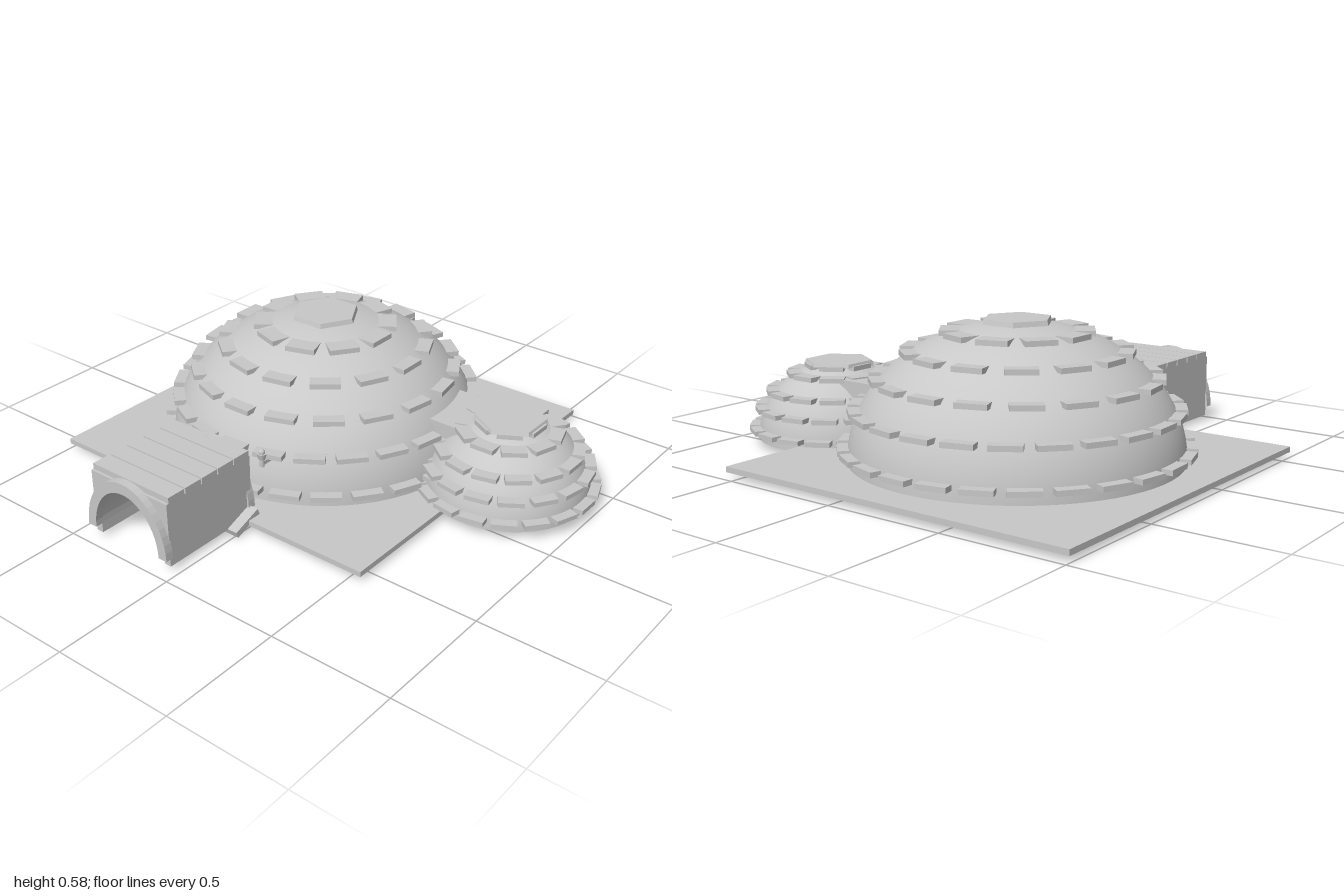
import * as THREE from 'three';

const stone = new THREE.MeshStandardMaterial({ color: 0xc8c8c8 });
stone.name = 'pale grey';

function add(parent, name, geometry, x = 0, y = 0, z = 0) {
  const mesh = new THREE.Mesh(geometry, stone);
  mesh.name = name;
  mesh.position.set(x, y, z);
  parent.add(mesh);
  return mesh;
}

// Half-ellipsoid shell closed underneath, with rings of flat blocks and a hexagonal cap
function dome(name, radius, height, rings, block, cap) {
  const group = new THREE.Group();
  group.name = name;
  const profile = [new THREE.Vector2(0, 0)];
  for (let i = 0; i <= 20; i++) {
    const a = (i / 20) * Math.PI / 2;
    profile.push(new THREE.Vector2(radius * Math.cos(a), height * Math.sin(a)));
  }
  profile[profile.length - 1].x = 0;
  // the floor is separate so that the shell keeps smooth normals
  add(group, 'domeShell', new THREE.LatheGeometry(profile.slice(1), 64));
  add(group, 'domeFloor', new THREE.CircleGeometry(radius, 64).rotateX(Math.PI / 2));

  const brick = new THREE.BoxGeometry(block.deep, block.thick, block.long);
  for (const [y, count, phase] of rings) {
    const r = radius * Math.sqrt(1 - (y / height) ** 2);
    for (let i = 0; i < count; i++) {
      const a = ((i + phase) / count) * Math.PI * 2;
      const mesh = add(group, 'ringBlock', brick, r * Math.cos(a), y, -r * Math.sin(a));
      mesh.rotation.y = a;
    }
  }
  const hexagon = new THREE.CylinderGeometry(cap.r * 0.96, cap.r, cap.thick, 6).toNonIndexed();
  hexagon.computeVertexNormals();
  add(group, 'capStone', hexagon, 0, cap.y, 0).rotation.y = cap.turn;
  return group;
}

// Half-ellipse opening, traced left to right
function archPoints(rx, ry, baseY, steps = 24) {
  return Array.from({ length: steps + 1 }, (_, i) => {
    const a = Math.PI * (1 - i / steps);
    return new THREE.Vector2(rx * Math.cos(a), baseY + ry * Math.sin(a));
  });
}

function extrude(shape, depth) {
  return new THREE.ExtrudeGeometry(shape, { depth, bevelEnabled: false });
}

function entrance() {
  const group = new THREE.Group();
  group.name = 'entranceTunnel';

  // Square body with an arched passage open at the bottom
  const body = new THREE.Shape();
  body.moveTo(-0.195, 0.02);
  body.lineTo(-0.165, 0.02);
  archPoints(0.165, 0.205, 0.065).forEach(p => body.lineTo(p.x, p.y));
  body.lineTo(0.165, 0.02);
  body.lineTo(0.195, 0.02);
  body.lineTo(0.195, 0.285);
  body.lineTo(-0.195, 0.285);
  add(group, 'tunnelWalls', extrude(body, 0.44), 0, 0, 0.505);

  // Arched frames at both ends
  const frame = new THREE.Shape([
    ...archPoints(0.205, 0.25, 0.06),
    ...archPoints(0.165, 0.205, 0.06).reverse(),
  ]);
  for (const z of [0.495, 0.94]) add(group, 'archFrame', extrude(frame, 0.034), 0, 0, z);

  // Roof slabs
  for (let i = 0; i < 5; i++) {
    add(group, 'roofSlab', new THREE.BoxGeometry(0.39, 0.025, 0.08), 0, 0.296, 0.55 + i * 0.086);
  }

  // Sloping threshold slab and the block above it
  add(group, 'threshold', new THREE.BoxGeometry(0.48, 0.028, 0.132), 0, 0.034, 0.575).rotation.x = 0.36;
  add(group, 'doorBlock', new THREE.BoxGeometry(0.22, 0.035, 0.06), 0, 0.105, 0.53);
  add(group, 'doorBlock', new THREE.BoxGeometry(0.18, 0.045, 0.05), 0, 0.142, 0.53);
  return group;
}

// Small lamp by the entrance
function lamp() {
  const group = new THREE.Group();
  group.name = 'lamp';
  add(group, 'lampStem', new THREE.CylinderGeometry(0.01, 0.01, 0.07, 10), 0, 0.24, 0);
  add(group, 'lampBowl', new THREE.CylinderGeometry(0.02, 0.014, 0.025, 10), 0, 0.25, 0);
  add(group, 'lampTop', new THREE.SphereGeometry(0.013, 10, 8), 0, 0.268, 0);
  add(group, 'lampBracket', new THREE.BoxGeometry(0.016, 0.016, 0.1), 0, 0.22, -0.05);
  return group;
}

export function createModel() {
  const model = new THREE.Group();
  model.name = 'igloo';

  add(model, 'basePlate', new THREE.BoxGeometry(1.55, 0.022, 1.55), -0.225, 0.031, -0.205);

  const main = dome('mainDome', 0.65, 0.53,
    [[0.05, 26, 0.3], [0.195, 24, 0.2], [0.315, 18, 0.5], [0.415, 14, 0], [0.488, 10, 0]],
    { deep: 0.08, thick: 0.021, long: 0.122 },
    { r: 0.143, y: 0.53, thick: 0.02, turn: Math.PI / 6 });
  main.position.set(-0.225, 0.042, -0.2);
  model.add(main);

  const side = dome('sideDome', 0.335, 0.31,
    [[0.042, 18, 0], [0.125, 16, 0.5], [0.195, 14, 0], [0.265, 10, 0.5], [0.297, 6, 0]],
    { deep: 0.075, thick: 0.019, long: 0.1 },
    { r: 0.145, y: 0.309, thick: 0.014, turn: 0 });
  side.position.set(0.633, 0.021, -0.285);
  model.add(side);

  // Passage between the domes
  add(model, 'connector', new THREE.BoxGeometry(0.2, 0.25, 0.28), 0.4, 0.165, -0.285);

  const tunnel = entrance();
  tunnel.position.x = -0.225;
  model.add(tunnel);

  const light = lamp();
  light.position.set(-0.03, 0, 0.435);
  model.add(light);
  return model;
}
